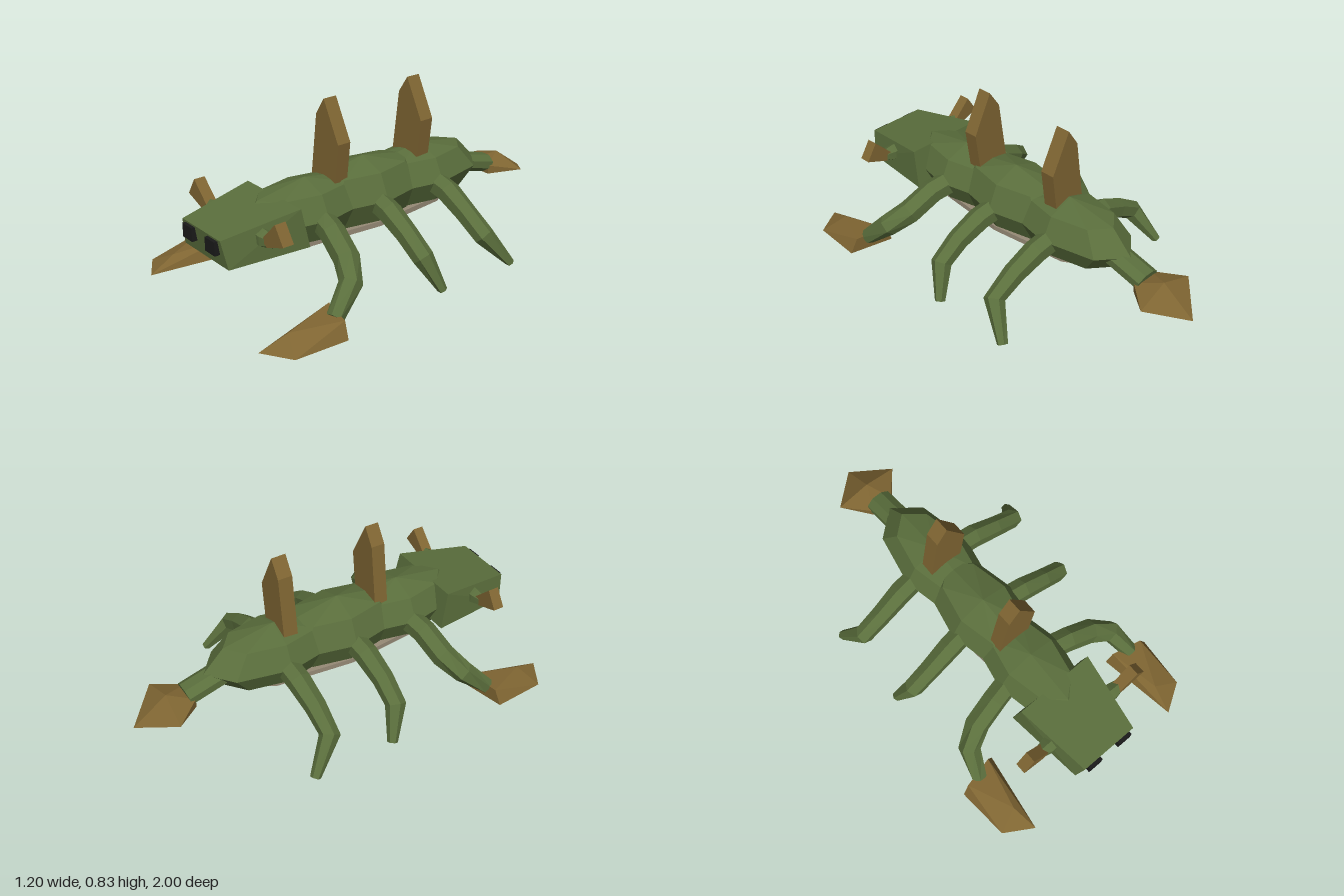
import * as THREE from 'three';
import { ConvexGeometry } from 'three/addons/geometries/ConvexGeometry.js';

const paint = (color) => new THREE.MeshStandardMaterial({ color, flatShading: true });
const V = (p) => new THREE.Vector3(...p);

// Faceted solid around a few corner points
const hull = (points) => new ConvexGeometry(points.map(V));

// Flat outline in x/y given thickness along z, from z0 to z1
function slab(outline, z0, z1) {
  const shape = new THREE.Shape(outline.map(([x, y]) => new THREE.Vector2(x, y)));
  const geo = new THREE.ExtrudeGeometry(shape, { depth: z1 - z0, bevelEnabled: false });
  return geo.translate(0, 0, z0);
}

// Tapered faceted limb through stations [x, y, z, radius], kept above the ground
function limb(stations, sides = 6) {
  const pts = stations.map(V);
  const pos = [], idx = [];
  const last = pts.length - 1;
  pts.forEach((p, i) => {
    const t = pts[Math.min(i + 1, last)].clone().sub(pts[Math.max(i - 1, 0)]).normalize();
    const u = new THREE.Vector3(0, 0, 1).cross(t).normalize();
    const v = t.clone().cross(u);
    for (let j = 0; j < sides; j++) {
      const a = (j / sides) * Math.PI * 2;
      const q = p.clone()
        .addScaledVector(u, Math.cos(a) * stations[i][3])
        .addScaledVector(v, Math.sin(a) * stations[i][3]);
      pos.push(q.x, Math.max(q.y, 0), q.z);
    }
  });
  for (let i = 0; i < last; i++) {
    for (let j = 0; j < sides; j++) {
      const a = i * sides + j, b = i * sides + (j + 1) % sides;
      idx.push(a, b, b + sides, a, b + sides, a + sides);
    }
  }
  // End caps
  for (let j = 1; j < sides - 1; j++) {
    const e = last * sides;
    idx.push(0, j + 1, j, e, e + j, e + j + 1);
  }
  const geo = new THREE.BufferGeometry();
  geo.setAttribute('position', new THREE.Float32BufferAttribute(pos, 3));
  geo.setIndex(idx);
  geo.computeVertexNormals();
  return geo;
}

export function createModel() {
  const model = new THREE.Group();
  model.name = 'hornedCrawler';
  const green = paint(0x5a6e3c), horn = paint(0x7f6532), tan = paint(0x968a76), black = paint(0x1a1a1a);
  const add = (name, geo, mat) => {
    const mesh = new THREE.Mesh(geo, mat);
    mesh.name = name;
    model.add(mesh);
    return mesh;
  };

  // Three overlapping body segments
  [['frontSegment', 0.42, 0.185, 0.155], ['middleSegment', 0.08, 0.19, 0.175], ['rearSegment', -0.27, 0.185, 0.155]]
    .forEach(([name, z, rx, ry]) => {
      add(name, new THREE.SphereGeometry(1, 8, 4).scale(rx, ry, 0.37).translate(0, 0.33, z), green);
    });

  // Shallow pointed belly plate
  const belly = [[0, 0.145, 0.09]];
  for (let i = 0; i < 8; i++) {
    const a = (i * Math.PI) / 4;
    for (const y of [0.19, 0.215]) belly.push([Math.sin(a) * 0.145, y, 0.09 + Math.cos(a) * 0.57]);
  }
  add('bellyPlate', hull(belly), tan);

  // Wedge head
  const head = [];
  for (const s of [1, -1]) {
    head.push([s * 0.15, 0.39, 0.97], [s * 0.175, 0.257, 0.95], [s * 0.205, 0.445, 0.59], [s * 0.217, 0.257, 0.555]);
  }
  add('head', hull(head), green);

  // Back fins
  const fin = [[-0.095, 0.42], [0.08, 0.42], [0.11, 0.64], [0.01, 0.835], [-0.048, 0.75]];
  add('frontFin', slab(fin, 0.24, 0.31), horn);
  add('rearFin', slab(fin, -0.26, -0.187), horn);

  // Tail stalk and spear tip
  const stalk = new THREE.CylinderGeometry(0.07, 0.07, 0.22, 8).rotateY(Math.PI / 8).rotateX(-Math.PI / 2)
    .scale(1, 0.68, 1).rotateX(-0.27).translate(0, 0.287, -0.63);
  add('tailStalk', stalk, green);
  add('tailTip', hull([
    [0.06, 0.26, -0.71], [-0.06, 0.26, -0.71], [0.06, 0.215, -0.71], [-0.06, 0.215, -0.71],
    [0, 0.295, -0.83], [0.17, 0.24, -0.84], [-0.17, 0.24, -0.84], [0, 0.2, -0.84], [0, 0.175, -1],
  ]), horn);

  // Paired parts
  for (const s of [1, -1]) {
    const side = s > 0 ? 'left' : 'right';
    const flip = (list) => list.map(([x, ...rest]) => [s * x, ...rest]);

    add(side + 'Eye', new THREE.BoxGeometry(0.075, 0.065, 0.04).translate(s * 0.09, 0.348, 0.965), black);

    // Side horn on a short stalk
    add(side + 'HornStalk', limb(flip([[0.13, 0.365, 0.775, 0.04], [0.2, 0.36, 0.775, 0.042], [0.25, 0.365, 0.775, 0.03]])), green);
    add(side + 'Horn', slab(flip([[0.21, 0.37], [0.25, 0.345], [0.37, 0.39], [0.315, 0.475]]), 0.75, 0.805), horn);

    // Legs
    add(side + 'FrontLeg', limb(flip([
      [0.13, 0.315, 0.42, 0.06], [0.23, 0.295, 0.44, 0.06], [0.36, 0.225, 0.465, 0.06],
      [0.455, 0.165, 0.52, 0.054], [0.495, 0.055, 0.64, 0.04],
    ])), green);
    add(side + 'MiddleLeg', limb(flip([
      [0.13, 0.315, 0.095, 0.058], [0.23, 0.295, 0.105, 0.058], [0.36, 0.235, 0.115, 0.052],
      [0.47, 0.16, 0.115, 0.05], [0.54, 0, 0.058, 0.025],
    ])), green);
    add(side + 'RearLeg', limb(flip([
      [0.13, 0.315, -0.27, 0.058], [0.23, 0.295, -0.265, 0.058], [0.36, 0.235, -0.255, 0.052],
      [0.485, 0.16, -0.255, 0.05], [0.55, 0, -0.37, 0.026],
    ])), green);

    // Broad front claw
    add(side + 'Claw', hull(flip([
      [0.6, 0, 0.65], [0.38, 0, 0.6], [0.44, 0, 0.995], [0.58, 0, 0.91],
      [0.565, 0.075, 0.64], [0.41, 0.082, 0.605], [0.465, 0.055, 0.86],
    ])), horn);
  }
  return model;
}
